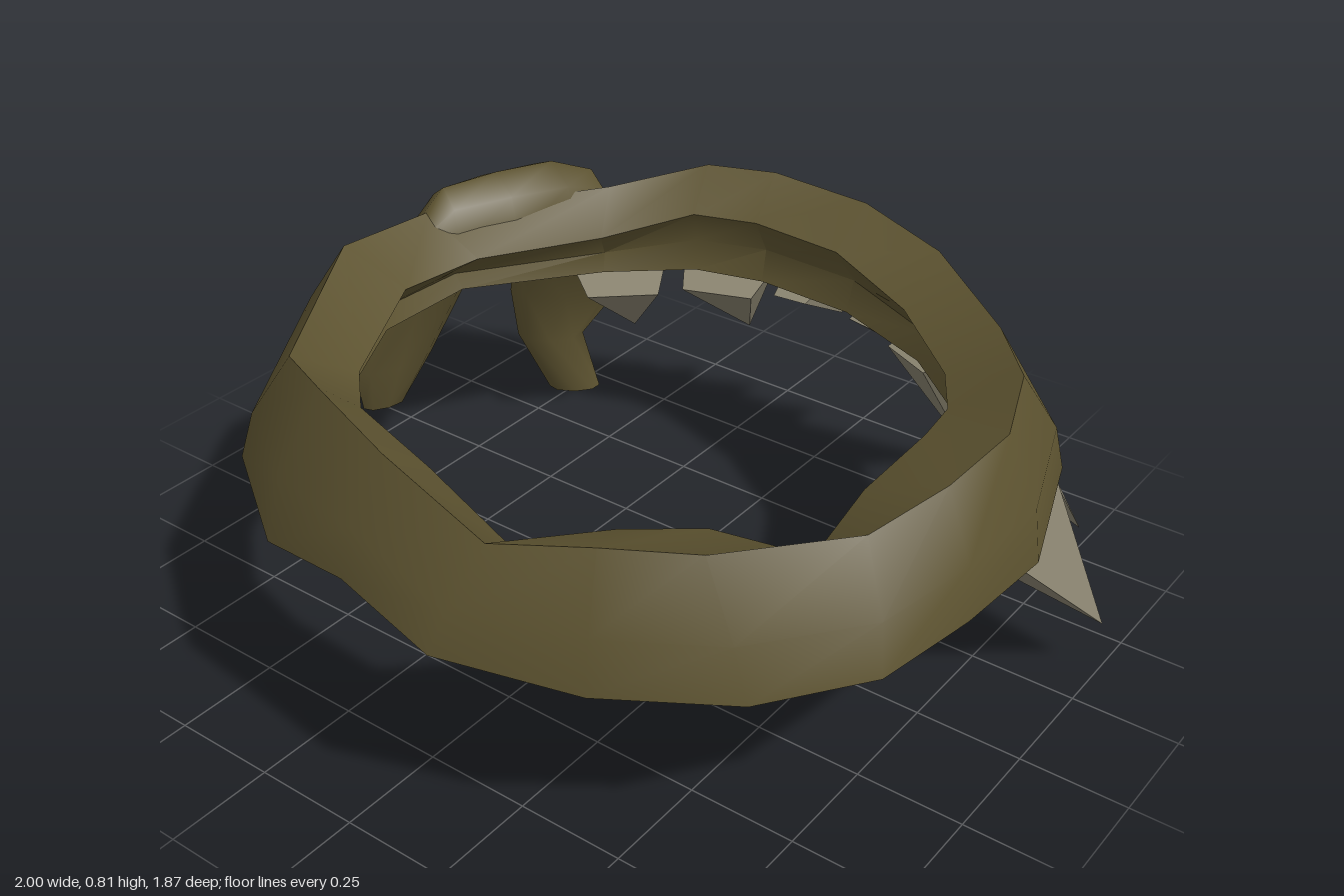
import * as THREE from 'three';
import { toCreasedNormals } from 'three/addons/utils/BufferGeometryUtils.js';

const V = (x, y, z) => new THREE.Vector3(x, y, z);

// Skin a list of equal-sized rings; closed joins last to first, otherwise the ends are capped.
function loft(rings, closed, crease) {
  const n = rings[0].length, m = rings.length;
  const pts = rings.flat(), idx = [];
  for (let i = 0; i < (closed ? m : m - 1); i++) {
    for (let j = 0; j < n; j++) {
      const a = i * n + j, b = i * n + (j + 1) % n;
      const c = ((i + 1) % m) * n + j, d = ((i + 1) % m) * n + (j + 1) % n;
      idx.push(a, b, c, b, d, c);
    }
  }
  if (!closed) {
    for (let j = 1; j < n - 1; j++) {
      const e = (m - 1) * n;
      idx.push(0, j + 1, j, e, e + j, e + j + 1);
    }
  }
  // Turn the faces outward if the signed volume is negative
  let volume = 0;
  for (let i = 0; i < idx.length; i += 3) {
    volume += pts[idx[i]].dot(V(0, 0, 0).crossVectors(pts[idx[i + 1]], pts[idx[i + 2]]));
  }
  if (volume < 0) idx.reverse();
  const g = new THREE.BufferGeometry().setFromPoints(pts);
  g.setIndex(idx);
  return toCreasedNormals(g, crease);
}

// Elliptical rings [x, y, z, half width, half thickness] across fixed directions
function strip(sections, wide, thick, sides = 8) {
  return loft(sections.map(([x, y, z, w, t]) => Array.from({ length: sides }, (_, k) => {
    const a = (k / sides) * Math.PI * 2;
    return V(x, y, z).addScaledVector(wide, Math.cos(a) * w).addScaledVector(thick, Math.sin(a) * t);
  })), false, 1.1);
}

export function createModel() {
  const model = new THREE.Group();
  const cloth = new THREE.MeshStandardMaterial({ color: 0x5d5330 });
  cloth.name = 'olive cloth';
  const bone = new THREE.MeshStandardMaterial({ color: 0x89836f });
  bone.name = 'grey bone';
  const add = (name, geometry, material) => {
    const mesh = new THREE.Mesh(geometry, material);
    mesh.name = name;
    model.add(mesh);
  };

  // Headband stations: outer hem x z y, top rim x z y, inner lip x z
  const stations = [
    [-.14, -.82, .50, -.12, -.69, .81, -.10, -.58],
    [.17, -.84, .49, .14, -.69, .80, .13, -.58],
    [.47, -.75, .47, .36, -.66, .75, .36, -.51],
    [.68, -.57, .45, .62, -.48, .71, .55, -.37],
    [.84, -.40, .47, .76, -.32, .71, .63, -.24],
    [.94, -.10, .43, .86, -.06, .73, .66, -.09],
    [.94, .20, .46, .85, .16, .72, .66, .15],
    [.88, .42, .43, .77, .32, .66, .66, .33],
    [.73, .65, .44, .62, .64, .73, .50, .46],
    [.49, .83, .46, .45, .74, .73, .36, .57],
    [.20, .94, .49, .25, .82, .70, .20, .70],
    [-.05, .91, .54, 0, .82, .80, 0, .70],
    [-.29, .88, .51, -.26, .73, .81, -.25, .63],
    [-.56, .70, .52, -.51, .58, .73, -.46, .43],
    [-.81, .28, .54, -.72, .20, .78, -.58, .15],
    [-.80, -.04, .54, -.72, -.08, .76, -.58, -.10],
    [-.52, -.55, .50, -.49, -.50, .74, -.44, -.40],
    [-.34, -.71, .51, -.28, -.63, .81, -.25, -.53],
  ];
  const bandRings = stations.map(([ox, oz, oy, tx, tz, ty, ix, iz]) => [
    V(ox, oy, oz),
    V(ox * .62 + tx * .4, oy * .55 + ty * .45, oz * .62 + tz * .4),
    V(tx, ty, tz),
    V(ix, ty - .09, iz),
    V(ix * .72 + ox * .28, oy * .55 + ty * .45 - .02, iz * .72 + oz * .28),
    V(ix * .8 + ox * .2, oy + .04, iz * .8 + oz * .2),
  ]);
  add('headband', loft(bandRings, true, 0.9), cloth);

  // Knot lying along the band
  add('knot', strip([
    [-.74, .65, -.02, .06, .04],
    [-.71, .68, -.13, .13, .08],
    [-.67, .68, -.28, .13, .11],
    [-.62, .67, -.43, .13, .12],
    [-.58, .65, -.54, .10, .08],
  ], V(0, 1, 0), V(.93, 0, .36)), cloth);

  // Two hanging tails of the knot
  add('frontTail', strip([
    [-.71, .68, -.26, .09, .05],
    [-.80, .58, -.24, .13, .06],
    [-.89, .46, -.18, .17, .06],
    [-.93, .25, -.13, .11, .04],
    [-.965, .12, -.12, .06, .03],
  ], V(-.36, 0, .93), V(.93, 0, .36)), cloth);
  add('rearTail', strip([
    [-.65, .76, -.42, .06, .06],
    [-.67, .67, -.50, .13, .11],
    [-.72, .48, -.60, .14, .08],
    [-.75, .32, -.63, .15, .06],
    [-.80, .17, -.62, .09, .05],
    [-.75, 0, -.66, .07, .035],
  ], V(.77, 0, -.64), V(.64, 0, .77)), cloth);

  // Teeth under the hem: base x y z, half width, depth behind the flat outer side, tip x y z
  const teeth = [
    [-.50, .50, -.55, .12, .12, -.61, .20, -.76],
    [-.27, .51, -.72, .12, .13, -.34, .21, -.93],
    [-.08, .50, -.80, .06, .10, -.04, .35, -.92],
    [.16, .49, -.81, .06, .10, .14, .32, -.91],
    [.36, .48, -.76, .10, .13, .34, .08, -.93],
    [.67, .47, -.55, .12, .13, .77, .10, -.73],
    [.86, .47, -.21, .20, .13, 1, .14, -.36],
  ];
  for (const [x, y, z, w, d, tx, ty, tz] of teeth) {
    const out = V(x, 0, z).normalize(), side = V(-out.z, 0, out.x);
    const base = [[w, 0, 0], [-w, 0, 0], [-w * .75, -d, -.03], [w * .75, -d, -.03]].map(([s, o, h]) =>
      V(x, y + h, z).addScaledVector(side, s).addScaledVector(out, o));
    const tip = base.map((p) => V(tx, ty, tz).lerp(p, 0.005));
    add('tooth', loft([base, tip], false, 0.1), bone);
  }
  return model;
}
